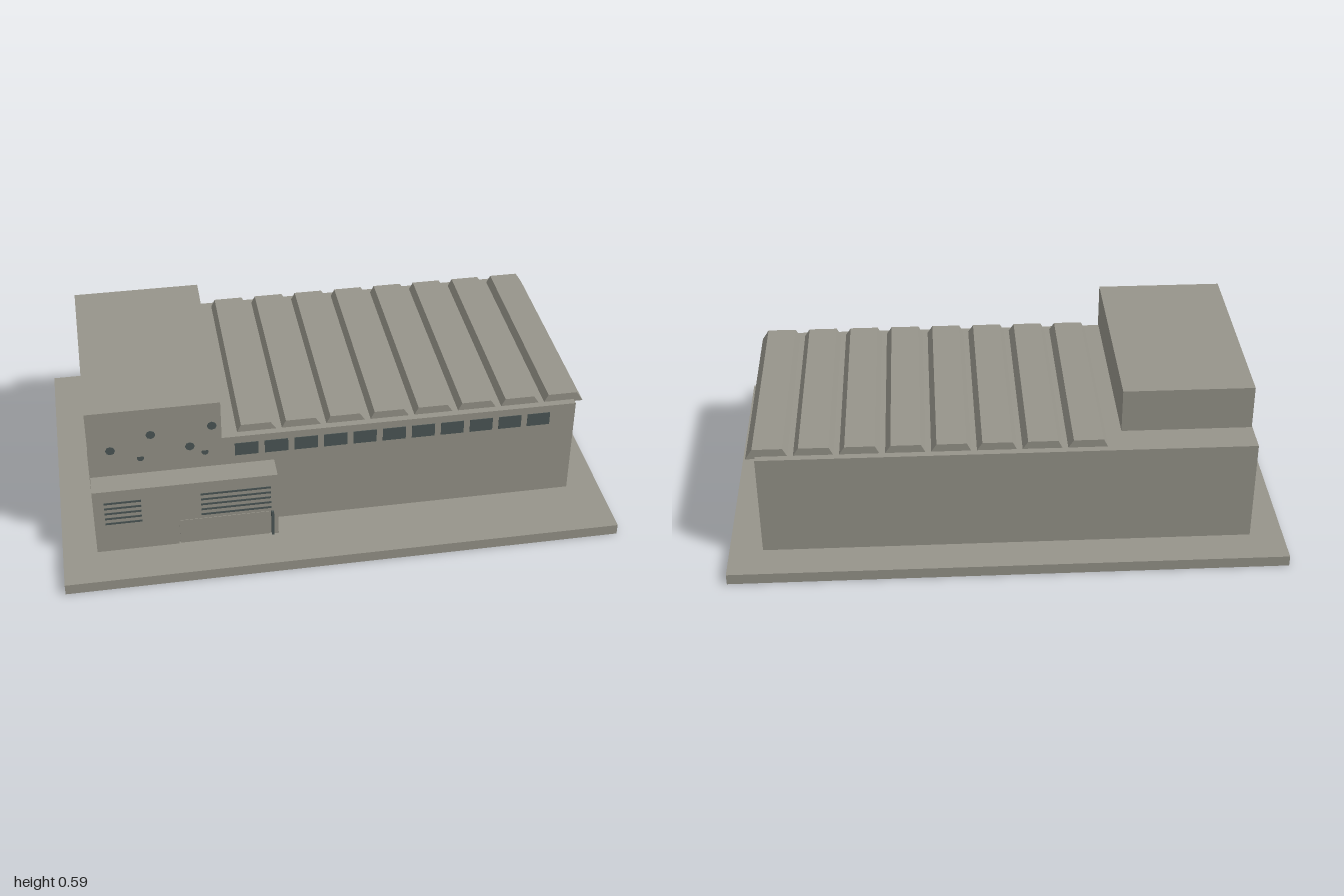
import * as THREE from 'three';

const concrete = new THREE.MeshStandardMaterial({ color: 0x96948a });
concrete.name = 'concrete';
const glass = new THREE.MeshStandardMaterial({ color: 0x4c5756 });
glass.name = 'darkGlass';

export function createModel() {
  const model = new THREE.Group();
  model.name = 'factoryBuilding';

  const add = (name, geometry, material = concrete) => {
    const mesh = new THREE.Mesh(geometry, material);
    mesh.name = name;
    model.add(mesh);
    return mesh;
  };
  // Box given by its limits on each axis
  const block = (name, x0, x1, y0, y1, z0, z1, material) => {
    const mesh = add(name, new THREE.BoxGeometry(x1 - x0, y1 - y0, z1 - z0), material);
    mesh.position.set((x0 + x1) / 2, (y0 + y1) / 2, (z0 + z1) / 2);
    return mesh;
  };
  const polygon = (points) => new THREE.Shape(points.map(([x, y]) => new THREE.Vector2(x, y)));

  // Main masses
  block('basePlate', -1, 1, 0, 0.04, -0.64, 0.64);
  block('mainHall', -0.88, 0.88, 0.04, 0.426, -0.502, 0.392);
  block('upperTower', -0.878, -0.41, 0.39, 0.59, -0.38, 0.406);

  // Front annex with a shallow doorway notch
  block('annexCore', -0.878, -0.225, 0.04, 0.308, 0.38, 0.472);
  const face = polygon([
    [-0.878, 0.04], [-0.585, 0.04], [-0.585, 0.147], [-0.24, 0.147],
    [-0.24, 0.04], [-0.225, 0.04], [-0.225, 0.308], [-0.878, 0.308],
  ]);
  add('annexFront', new THREE.ExtrudeGeometry(face, { depth: 0.009, bevelEnabled: false }))
    .position.z = 0.472;
  block('doorPanel', -0.58, -0.255, 0.04, 0.143, 0.47, 0.478);
  block('doorPost', -0.25, -0.241, 0.04, 0.147, 0.47, 0.488, glass);

  // Ventilation slots
  for (const [x0, x1] of [[-0.84, -0.71], [-0.5, -0.25]]) {
    for (let i = 0; i < 5; i++) {
      const y = 0.165 + i * 0.0225;
      block('ventSlot', x0, x1, y - 0.004, y + 0.004, 0.479, 0.4825, glass);
    }
  }

  // Row of high windows
  for (let i = 0; i < 11; i++) {
    const x = -0.322 + i * 0.1066;
    block('hallWindow', x - 0.042, x + 0.042, 0.345, 0.397, 0.389, 0.394, glass);
  }

  // Round openings on the tower and the wall below it
  const openings = [
    [-0.8, 0.428, 0.017, 0.406], [-0.657, 0.481, 0.017, 0.406],
    [-0.523, 0.415, 0.017, 0.406], [-0.443, 0.495, 0.017, 0.406],
    [-0.697, 0.374, 0.013, 0.392], [-0.47, 0.374, 0.013, 0.392],
  ];
  for (const [x, y, r, z] of openings) {
    const disc = new THREE.CylinderGeometry(r, r, 0.004, 8).rotateX(Math.PI / 2);
    add('roundOpening', disc, glass).position.set(x, y, z);
  }

  // Trapezoid skylight ridges; the last one overhangs the end wall
  const ridge = new THREE.ExtrudeGeometry(
    polygon([[-0.075, 0.417], [0.075, 0.417], [0.05, 0.455], [-0.056, 0.455]]),
    { depth: 0.842, bevelEnabled: false },
  );
  for (let i = 0; i < 8; i++) {
    add('roofRidge', ridge).position.set(-0.281 + i * 0.16, 0, -0.476);
  }

  return model;
}
